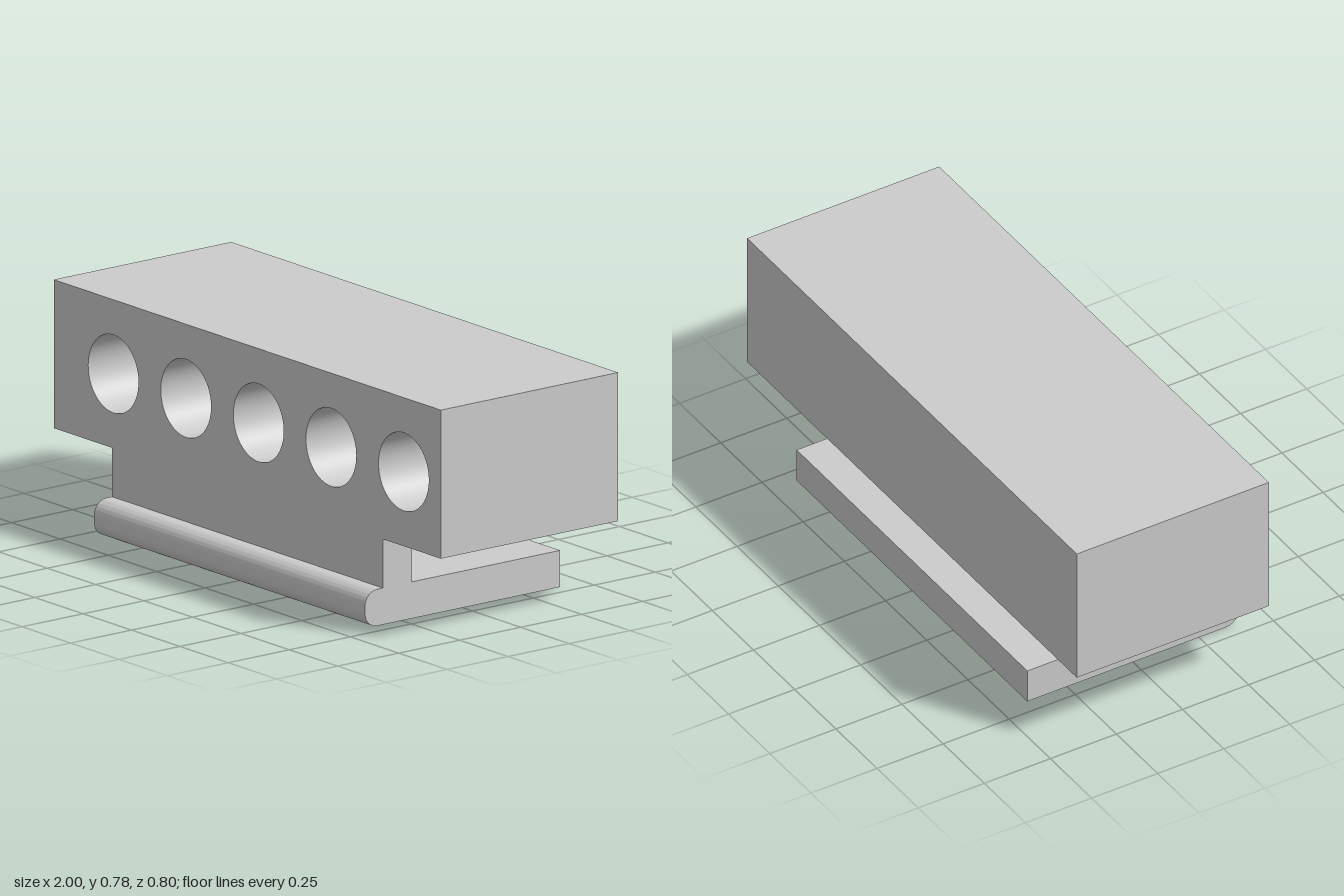
import * as THREE from 'three';
import { toCreasedNormals } from 'three/addons/utils/BufferGeometryUtils.js';

const material = new THREE.MeshStandardMaterial({ color: 0xcccccc });

function addPart(group, name, geometry) {
  const mesh = new THREE.Mesh(geometry, material);
  mesh.name = name;
  group.add(mesh);
  return mesh;
}

function extrude(shape, depth) {
  const geometry = new THREE.ExtrudeGeometry(shape, { depth, bevelEnabled: false, curveSegments: 32 });
  return toCreasedNormals(geometry, 0.6);
}

export function createModel() {
  const group = new THREE.Group();
  const bottom = 0.285, top = 0.78, front = 0.327, back = -0.4;
  const holeDepth = 0.6;
  const holeEnd = front - holeDepth;

  // Main block, with a row of five round bores opening at the front
  const face = new THREE.Shape();
  face.moveTo(-1, bottom).lineTo(1, bottom).lineTo(1, top).lineTo(-1, top).closePath();
  for (let i = 0; i < 5; i++) {
    const hole = new THREE.Path();
    hole.absarc(-0.692 + i * 0.375, 0.533, 0.13, 0, Math.PI * 2, true);
    face.holes.push(hole);
  }
  addPart(group, 'boredBlock', extrude(face, holeDepth).translate(0, 0, holeEnd));

  // Solid rear of the block, closing the bores
  const rear = new THREE.BoxGeometry(2, top - bottom, holeEnd - back);
  rear.translate(0, (top + bottom) / 2, (holeEnd + back) / 2);
  addPart(group, 'blockRear', rear);

  // Mounting foot: flat plate with a rounded front lip and an upright web,
  // drawn as a side profile (z, y) and extruded along x
  const tip = 0.4, plate = 0.122, r = 0.05, webBack = 0.207;
  const foot = new THREE.Shape();
  foot.moveTo(back, 0);
  foot.lineTo(tip - r, 0);
  foot.absarc(tip - r, r, r, -Math.PI / 2, 0, false);
  foot.absarc(tip - r, plate - r, r, 0, Math.PI / 2, false);
  foot.lineTo(front, plate);
  foot.lineTo(front, bottom);
  foot.lineTo(webBack, bottom);
  foot.lineTo(webBack, plate);
  foot.lineTo(back, plate);
  foot.closePath();
  const footGeometry = extrude(foot, 1.4).translate(0, 0, -0.7).rotateY(-Math.PI / 2);
  addPart(group, 'mountingFoot', footGeometry);

  return group;
}
